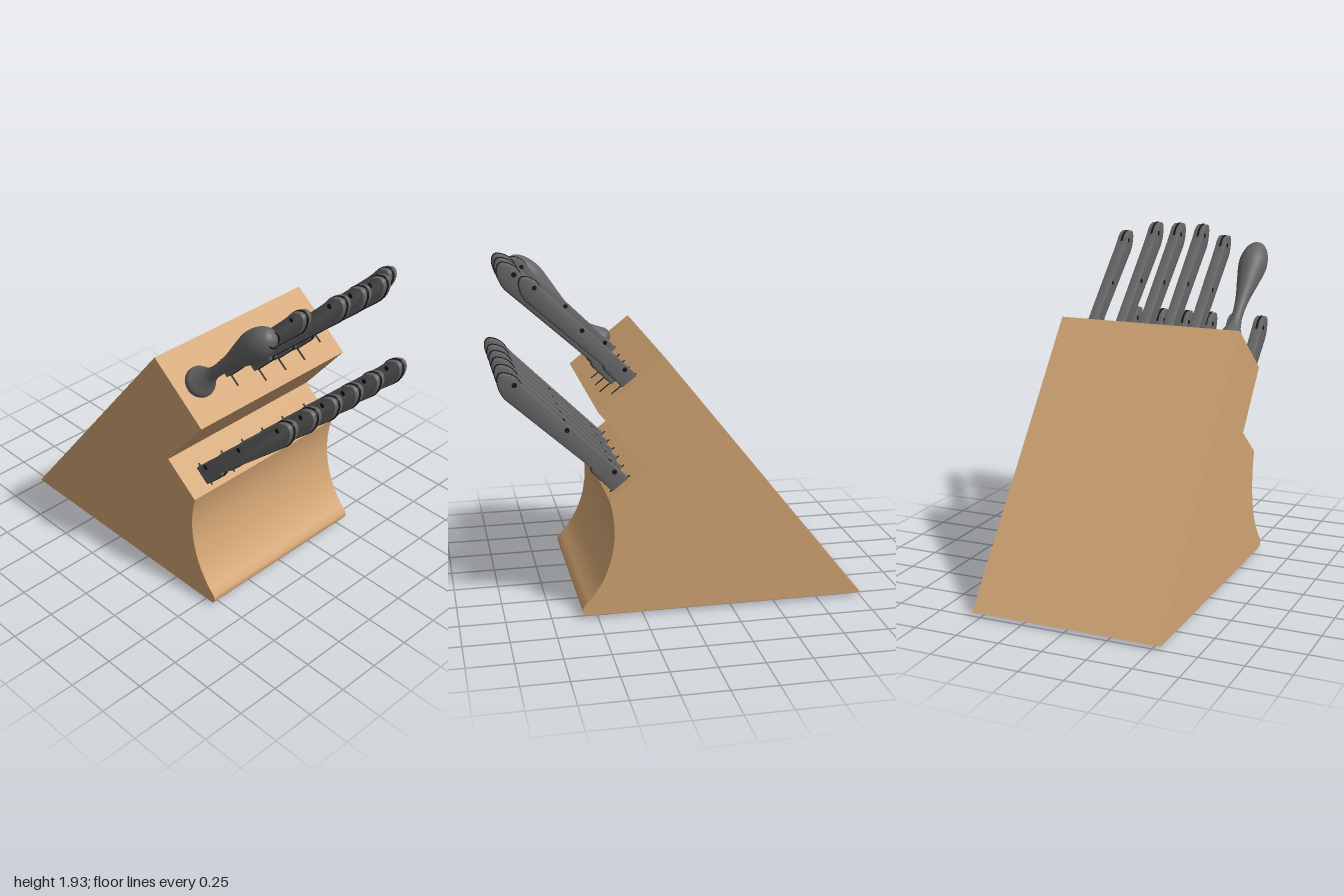
import * as THREE from 'three';
import { toCreasedNormals } from 'three/addons/utils/BufferGeometryUtils.js';

export function createModel() {
  const model = new THREE.Group();
  model.name = 'knifeBlock';

  const wood = new THREE.MeshStandardMaterial({ color: 0xd0a372 });
  const grip = new THREE.MeshStandardMaterial({ color: 0x646464 });
  const black = new THREE.MeshStandardMaterial({ color: 0x141414 });
  const rubber = new THREE.MeshStandardMaterial({ color: 0x555a5e });
  wood.name = 'wood'; grip.name = 'gripGrey'; black.name = 'black'; rubber.name = 'rubber';

  const add = (parent, name, geometry, material, x = 0, y = 0, z = 0) => {
    const mesh = new THREE.Mesh(geometry, material);
    mesh.name = name;
    mesh.position.set(x, y, z);
    parent.add(mesh);
    return mesh;
  };

  // Extrude a side outline, centred on z = 0
  const slab = (shape, width, bevel = 0) => {
    const g = new THREE.ExtrudeGeometry(shape, {
      depth: width - 2 * bevel, curveSegments: 20, bevelEnabled: bevel > 0,
      bevelSize: bevel, bevelThickness: bevel, bevelOffset: -bevel, bevelSegments: 2,
    });
    g.translate(0, 0, -width / 2 + bevel);
    return toCreasedNormals(g, 0.6);
  };

  // Wooden block: two stepped slot faces and a scooped front
  const side = new THREE.Shape();
  side.moveTo(-1, 0.022);
  side.lineTo(0.56, 0.022);
  side.bezierCurveTo(0.585, 0.025, 0.592, 0.055, 0.575, 0.078);
  side.bezierCurveTo(0.41, 0.24, 0.375, 0.47, 0.43, 0.67);
  side.lineTo(0.22, 0.835);
  side.lineTo(0.485, 1.165);
  side.lineTo(0.13, 1.445);
  side.closePath();
  add(model, 'block', slab(side, 1.1), wood);

  // Feet
  const footGeo = new THREE.CylinderGeometry(0.047, 0.047, 0.026, 24);
  for (const x of [-0.85, 0.445])
    for (const z of [-0.46, 0.46]) add(model, 'foot', footGeo, rubber, x, 0.013, z);

  // Knife handle outline, already leaning as it sits in the lower row
  const outline = new THREE.Shape();
  outline.moveTo(0.315, 0.765);
  outline.lineTo(0.4, 0.697);
  outline.lineTo(0.5, 0.8);
  outline.quadraticCurveTo(0.515, 0.815, 0.512, 0.835);
  outline.lineTo(0.955, 1.235);
  outline.quadraticCurveTo(0.99, 1.275, 0.997, 1.33);
  outline.quadraticCurveTo(0.997, 1.375, 0.965, 1.377);
  outline.quadraticCurveTo(0.905, 1.37, 0.88, 1.325);
  outline.lineTo(0.83, 1.272);
  outline.closePath();
  const handleGeo = slab(outline, 0.064, 0.006);

  // Tang: shows along the underside and around the butt of the handle
  const tang = new THREE.Shape();
  tang.moveTo(0.34, 0.76);
  tang.lineTo(0.402, 0.695);
  tang.lineTo(0.503, 0.797);
  tang.quadraticCurveTo(0.518, 0.813, 0.515, 0.833);
  tang.lineTo(0.958, 1.232);
  tang.quadraticCurveTo(0.993, 1.273, 1.0, 1.33);
  tang.quadraticCurveTo(1.0, 1.38, 0.965, 1.38);
  tang.quadraticCurveTo(0.905, 1.373, 0.876, 1.327);
  tang.lineTo(0.84, 1.26);
  tang.closePath();
  const tangGeo = slab(tang, 0.012);

  const rivetGeo = new THREE.CylinderGeometry(0.014, 0.014, 0.067, 14);
  rivetGeo.rotateX(Math.PI / 2);

  const addKnife = (name, x, y, z, scale = 1) => {
    const knife = new THREE.Group();
    knife.name = name;
    add(knife, 'handle', handleGeo, grip);
    add(knife, 'tang', tangGeo, black);
    for (const [rx, ry] of [[0.39, 0.808], [0.64, 1.055], [0.91, 1.315]])
      add(knife, 'rivet', rivetGeo, black, rx, ry, 0);
    knife.position.set(x, y, z);
    knife.scale.set(scale, scale, 1);
    model.add(knife);
  };

  // Dark slot line lying on a sloping face
  const addSlot = (x, y, z, length) => {
    const slot = add(model, 'slot', new THREE.BoxGeometry(length, 0.006, 0.01), black, x, y, z);
    slot.rotation.z = -0.668;
  };

  for (const z of [0.4, 0.23, 0.07, -0.09, -0.257, -0.44]) {
    addKnife('lowerKnife', 0, 0, z);
    addSlot(0.355, 0.729, z, 0.14);
  }
  for (const z of [0.02, -0.135, -0.285]) {
    addKnife('upperKnife', -0.03, 0.55, z);
    addSlot(0.352, 1.27, z, 0.21);
  }
  for (const z of [0.197, -0.45]) {
    addKnife('smallUpperKnife', -0.017, 0.652, z, 0.89);
    addSlot(0.33, 1.287, z, 0.17);
  }

  // Sharpening steel: turned handle with a flared collar
  const steel = new THREE.Group();
  steel.name = 'sharpeningSteel';
  const profile = [
    [0.07, 0], [0.084, 0.02], [0.084, 0.05], [0.064, 0.09], [0.038, 0.155], [0.032, 0.23],
    [0.04, 0.34], [0.066, 0.48], [0.082, 0.57], [0.082, 0.63], [0.068, 0.69], [0.045, 0.73], [0.024, 0.746],
  ].map(([r, t]) => new THREE.Vector2(r, t));
  const points = new THREE.SplineCurve(profile).getPoints(48);
  points.unshift(new THREE.Vector2(0, 0));
  points.push(new THREE.Vector2(0, 0.75));
  add(steel, 'steelHandle', new THREE.LatheGeometry(points, 32), grip);
  steel.position.set(0.31, 1.305, 0.415);
  steel.rotation.z = -Math.PI / 4;
  model.add(steel);

  // Hanging ring at the end of the steel
  const ring = add(model, 'hangingRing', new THREE.TorusGeometry(0.037, 0.005, 8, 28), black, 0.843, 1.8, 0.405);
  ring.rotation.set(0, Math.PI / 2, 0.35, 'ZYX');

  return model;
}
